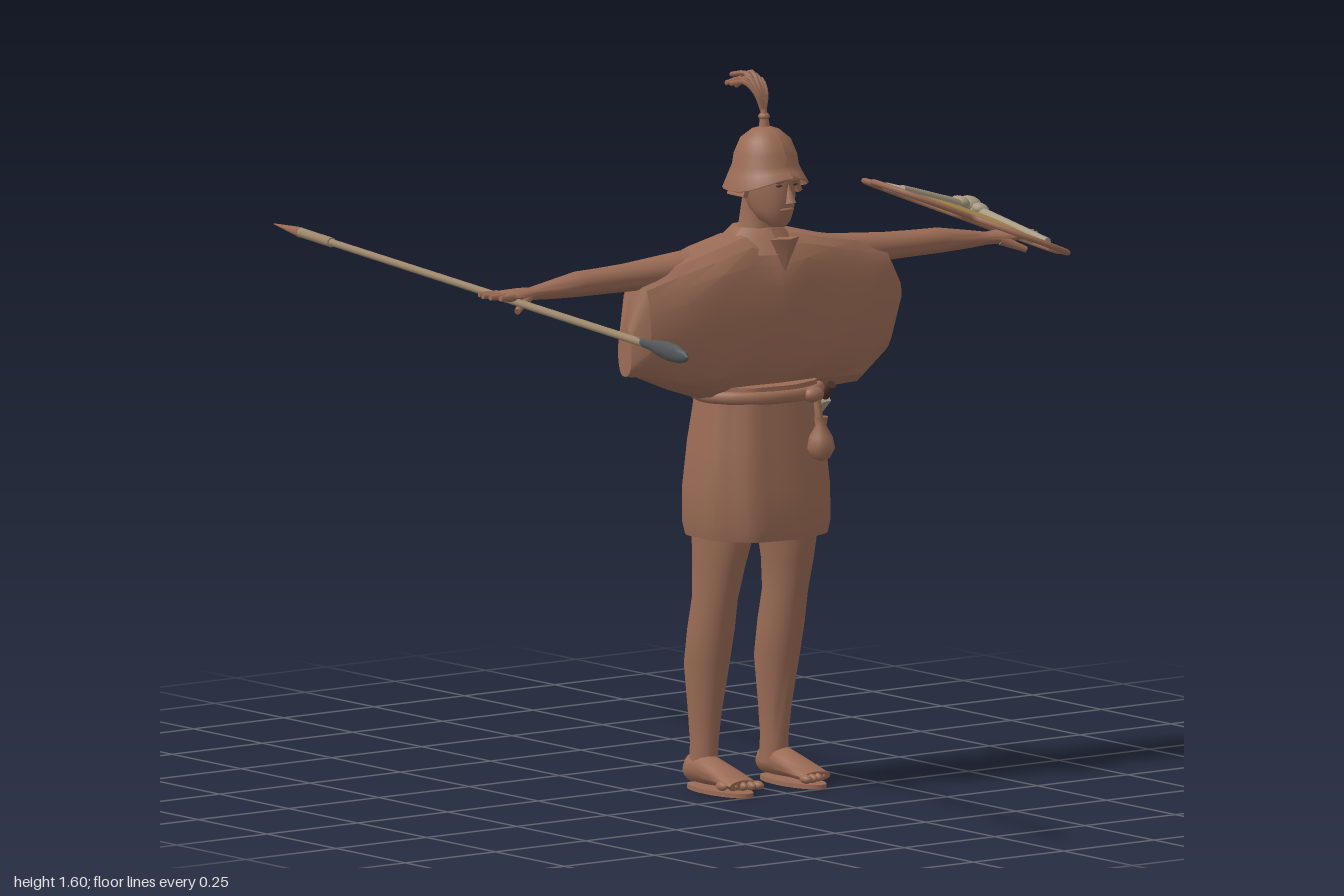
import * as THREE from 'three';
import { toCreasedNormals } from 'three/addons/utils/BufferGeometryUtils.js';

const V = (x, y, z) => new THREE.Vector3(x, y, z);
const paint = (name, color, side = THREE.FrontSide) => {
  const m = new THREE.MeshStandardMaterial({ color, side });
  m.name = name;
  return m;
};

// Oval ring of points across one axis; power < 1 makes it boxier.
function ring(axis, c, a, b, power = 1, fold = () => 1, n = 20) {
  const out = [];
  for (let i = 0; i < n; i++) {
    const t = (i / n) * Math.PI * 2, k = fold(t);
    const p = Math.sign(Math.cos(t)) * Math.abs(Math.cos(t)) ** power * a * k;
    const q = Math.sign(Math.sin(t)) * Math.abs(Math.sin(t)) ** power * b * k;
    const d = axis === 'x' ? V(0, p, q) : axis === 'y' ? V(p, 0, q) : V(p, q, 0);
    out.push(d.add(V(...c)));
  }
  return out;
}

// Closed skin through a list of rings, always facing outwards.
function loft(rings, crease = 0.8) {
  const n = rings[0].length, pts = rings.flat(), idx = [];
  for (let r = 0; r < rings.length - 1; r++) for (let i = 0; i < n; i++) {
    const a = r * n + i, b = r * n + (i + 1) % n;
    idx.push(a, b, a + n, b, b + n, a + n);
  }
  const last = (rings.length - 1) * n;
  for (let i = 1; i < n - 1; i++) idx.push(0, i + 1, i, last, last + i, last + i + 1);
  let volume = 0;
  for (let i = 0; i < idx.length; i += 3)
    volume += pts[idx[i]].dot(pts[idx[i + 1]].clone().cross(pts[idx[i + 2]]));
  if (volume < 0) idx.reverse();
  const g = new THREE.BufferGeometry().setFromPoints(pts);
  g.setIndex(idx);
  return toCreasedNormals(g, crease);
}

export function createModel() {
  const model = new THREE.Group();
  const brown = paint('brown', 0x9a6b55), brownOpen = paint('brown cloth', 0x9a6b55, THREE.DoubleSide);
  const gold = paint('shield gold', 0xa68848, THREE.DoubleSide), bone = paint('bone', 0xa89a84);
  const wood = paint('shaft wood', 0x9c876c), steel = paint('dark steel', 0x55585b);
  const dark = paint('dark brown', 0x4a3228);

  const add = (name, geo, mat, pos = [0, 0, 0], scale = [1, 1, 1], parent = model) => {
    const m = new THREE.Mesh(geo, mat);
    m.name = name;
    m.position.set(...pos);
    m.scale.set(...scale);
    parent.add(m);
    return m;
  };
  const ball = (name, mat, pos, scale, parent) =>
    add(name, new THREE.SphereGeometry(1, 16, 12), mat, pos, scale, parent);
  const aim = (mesh, a, b) => {
    mesh.position.copy(a).lerp(b, 0.5);
    mesh.quaternion.setFromUnitVectors(V(0, 1, 0), b.clone().sub(a).normalize());
    return mesh;
  };
  const rod = (name, mat, a, b, ra, rb, parent) =>
    aim(add(name, new THREE.CylinderGeometry(rb, ra, a.distanceTo(b), 10), mat, undefined, undefined, parent), a, b);

  // Billowing tunic top: x, top, bottom, half depth
  const bodice = [[-0.367, 1.06, 0.95, 0.025], [-0.335, 1.158, 0.945, 0.055], [-0.25, 1.195, 0.91, 0.083],
    [-0.16, 1.222, 0.88, 0.1], [-0.07, 1.245, 0.878, 0.105], [-0.005, 1.235, 0.88, 0.108], [0.07, 1.245, 0.878, 0.105],
    [0.16, 1.222, 0.876, 0.1], [0.25, 1.205, 0.878, 0.083], [0.335, 1.178, 0.935, 0.055], [0.38, 1.1, 1.04, 0.025]];
  add('tunicTop', loft(bodice.map(([x, t, b, d], i) =>
    ring('x', [x, (t + b) / 2, 0.14], (t - b) / 2, d, 0.75,
      (a) => 1 - 0.06 * Math.abs(Math.sin(a)) * (1 + Math.sin(a * 5 + i * 2.1)) / 2)), 0.35), brown);

  // Pleated skirt
  const pleat = (a) => 1 + 0.025 * Math.sin(a * 9 + 1);
  add('tunicSkirt', loft([[0.57, 0.153, 0.138], [0.6, 0.16, 0.143], [0.68, 0.163, 0.135], [0.78, 0.153, 0.125],
    [0.86, 0.141, 0.113], [0.91, 0.136, 0.108]].map(([y, a, b]) =>
    ring('y', [-0.008, y, 0.145], a, b, 0.85, pleat, 36)), 0.5), brown);

  // Belt, knot and pouch
  const belt = add('belt', new THREE.TorusGeometry(0.141, 0.013, 8, 40), brown, [-0.005, 0.887, 0.145], [1.04, 0.83, 1.1]);
  belt.rotation.x = Math.PI / 2;
  ball('beltKnot', brown, [0.06, 0.885, 0.265], [0.025, 0.018, 0.02]);
  rod('pouchCord', brown, V(0.065, 0.88, 0.27), V(0.065, 0.8, 0.285), 0.009, 0.009);
  add('pouch', new THREE.LatheGeometry([[0, 0], [0.02, 0.008], [0.031, 0.03], [0.026, 0.055], [0.012, 0.08], [0.016, 0.1]]
    .map((p) => new THREE.Vector2(...p)), 14), brownOpen, [0.065, 0.738, 0.285]);

  // Sheathed sword on the left hip
  const top = V(0.14, 0.87, 0.195), tip = V(0.16, 0.675, -0.035);
  aim(add('scabbard', new THREE.BoxGeometry(0.022, top.distanceTo(tip), 0.042), bone), tip, top);
  rod('swordHilt', dark, V(0.142, 0.86, 0.19), V(0.137, 0.895, 0.23), 0.012, 0.01);

  // Limbs, mirrored
  for (const s of [-1, 1]) {
    const side = s < 0 ? 'right' : 'left', lx = s * 0.097 - 0.007;
    add(side + 'Leg', loft([[0.04, 0, 0.08, 0.03, 0.037], [0.1, 0, 0.083, 0.028, 0.037], [0.17, 0, 0.085, 0.033, 0.044],
      [0.28, 0, 0.092, 0.046, 0.058], [0.36, 0, 0.108, 0.048, 0.06], [0.43, 0, 0.122, 0.045, 0.06],
      [0.5, -0.002, 0.132, 0.05, 0.07], [0.58, -0.008, 0.14, 0.06, 0.083], [0.66, -0.012, 0.142, 0.066, 0.09]]
      .map(([y, dx, z, a, b]) => ring('y', [lx + s * dx, y, z], a, b))), brown);
    add(side + 'Foot', loft([[0.036, 0.04, 0.02, 0.022], [0.05, 0.045, 0.029, 0.032], [0.1, 0.047, 0.03, 0.035],
      [0.15, 0.04, 0.036, 0.026], [0.2, 0.031, 0.041, 0.017], [0.232, 0.026, 0.038, 0.011]]
      .map(([z, y, a, b]) => ring('z', [lx + s * 0.004, y, z], a, b))), brown);
    for (let i = 0; i < 5; i++)
      ball(side + 'Toe', brown, [lx + s * (0.018 * i - 0.03), 0.024, 0.237 - i * i * 0.0022],
        [i ? 0.009 : 0.012, 0.01, 0.018]);
    add(side + 'Sole', new THREE.CylinderGeometry(1, 1, 0.01, 24), brown, [lx + s * 0.004, 0.005, 0.147], [0.043, 1, 0.106]);

    // Arm and open hand
    add(side + 'Arm', loft([[0.15, 1.172, 0.13, 0.045, 0.055], [0.26, 1.172, 0.13, 0.036, 0.047], [0.36, 1.17, 0.135, 0.031, 0.038],
      [0.44, 1.17, 0.14, 0.029, 0.034], [0.5, 1.17, 0.142, 0.028, 0.034], [0.58, 1.165, 0.145, 0.02, 0.026],
      [0.63, 1.162, 0.145, 0.014, 0.021], [0.66, 1.162, 0.145, 0.015, 0.033], [0.7, 1.163, 0.143, 0.012, 0.038], [0.712, 1.163, 0.143, 0.008, 0.035]]
      .map(([x, y, z, a, b]) => ring('x', [s * x, y, z], a, b))), brown);
    for (let i = 0; i < 4; i++)
      rod(side + 'Finger', brown, V(s * 0.7, 1.164, 0.113 + i * 0.02),
        V(s * (0.757 - Math.abs(i - 1.4) * 0.009), 1.166, 0.106 + i * 0.025), 0.009, 0.006);
    rod(side + 'Thumb', brown, V(s * 0.655, 1.158, 0.165), V(s * 0.705, 1.135, 0.192), 0.012, 0.007);
  }

  // Neck, collar and head
  const hx = -0.007;
  add('neck', loft([[1.2, 0.14, 0.065], [1.24, 0.148, 0.044], [1.32, 0.163, 0.042]]
    .map(([y, z, r]) => ring('y', [hx, y, z], r, r))), brown);
  add('collar', loft([[1.2, 0.1, 0.09], [1.235, 0.075, 0.065], [1.255, 0.052, 0.05]]
    .map(([y, a, b]) => ring('y', [hx, y, 0.143], a, b, 1, (t) => 1 + 0.05 * Math.sin(5 * t))), 0.4), brown);
  add('collarFlap', new THREE.ConeGeometry(0.04, 0.075, 4), brown, [0.005, 1.197, 0.233], [1, 1, 0.5]).rotation.x = Math.PI;
  add('head', loft([[1.262, 0.225, 0.016, 0.018], [1.275, 0.212, 0.032, 0.04], [1.3, 0.197, 0.045, 0.062], [1.335, 0.187, 0.051, 0.076],
    [1.37, 0.182, 0.053, 0.08], [1.42, 0.18, 0.052, 0.072], [1.45, 0.18, 0.036, 0.05]]
    .map(([y, z, a, b]) => ring('y', [hx, y, z], a, b))), brown);
  const nose = add('nose', new THREE.ConeGeometry(0.011, 0.045, 6), brown, [hx, 1.34, 0.266], [1, 1, 1.3]);
  nose.rotation.x = -0.2;
  ball('mouth', brown, [hx, 1.302, 0.256], [0.018, 0.005, 0.006]);
  for (const s of [-1, 1]) {
    ball('eye', dark, [hx + s * 0.021, 1.357, 0.256], [0.009, 0.003, 0.004]);
    ball('brow', brown, [hx + s * 0.021, 1.367, 0.257], [0.016, 0.005, 0.006]);
    // Cheek guards hanging beside the face
    const guard = add('cheekGuard', new THREE.BoxGeometry(0.012, 0.06, 0.06), brown, [hx + s * 0.066, 1.358, 0.175]);
    guard.rotation.z = s * 0.35;
  }

  // Helmet bowl with a flared brim, raised over the face
  const bowl = new THREE.LatheGeometry([[0.088, 1.34], [0.092, 1.342], [0.079, 1.375], [0.071, 1.395], [0.067, 1.42], [0.054, 1.452],
    [0.03, 1.472], [0.012, 1.478], [0, 1.48]].map((p) => new THREE.Vector2(...p)), 28);
  const bp = bowl.attributes.position;
  for (let i = 0; i < bp.count; i++) {
    const low = Math.max(0, (1.4 - bp.getY(i)) / 0.06), front = Math.max(0, bp.getZ(i) / 0.09);
    bp.setY(i, bp.getY(i) + 0.033 * low * front * front);
  }
  bowl.computeVertexNormals();
  add('helmet', bowl, brownOpen, [hx, 0, 0.178], [1, 1, 1.1]);
  rod('plumeHolder', brown, V(hx, 1.47, 0.175), V(hx, 1.515, 0.172), 0.014, 0.007);
  ball('plumeKnob', brown, [hx, 1.5, 0.173], [0.013, 0.009, 0.013]);

  // Plume feathers sweeping backwards
  for (let i = 0; i < 9; i++) {
    const f = (i - 4) / 4, back = 0.055 + 0.045 * ((i * 5) % 9) / 8, high = 1.6 - Math.abs(f) * 0.018;
    const curve = new THREE.CatmullRomCurve3([V(hx, 1.505, 0.172), V(hx + f * 0.014, 1.55, 0.162),
      V(hx + f * 0.027, high - 0.008, 0.165 - back * 0.5), V(hx + f * 0.036, high - 0.015 - (i % 3) * 0.008, 0.155 - back)]);
    add('plumeFeather', new THREE.TubeGeometry(curve, 10, 0.006, 5), brownOpen);
  }

  // Spear: shaft, blade and butt spike
  const point = V(-0.845, 1.15, 0.995), butt = V(-0.47, 1.155, -0.998);
  const along = (t) => point.clone().lerp(butt, t);
  rod('spearShaft', wood, along(0.11), along(0.93), 0.009, 0.008);
  rod('spearCollar', wood, along(0.86), along(0.935), 0.011, 0.011);
  rod('spearSpike', brown, along(0.935), along(1), 0.012, 0.001);
  const blade = add('spearBlade', new THREE.LatheGeometry([[0.009, 0], [0.011, 0.06], [0.018, 0.1], [0.023, 0.15], [0.021, 0.2], [0.012, 0.235], [0, 0.248]]
    .map((p) => new THREE.Vector2(...p)), 12), steel, undefined, [0.6, 1, 1]);
  aim(blade, along(0.122), point);
  blade.position.copy(along(0.122));

  // Four-lobed shield: two crossed ovals, tilted over the left arm
  const shield = new THREE.Group();
  shield.name = 'shield';
  const nrm = V(0.4, 1, 0.083).normalize(), ax = V(1, -0.4, 0).normalize();
  shield.quaternion.setFromRotationMatrix(new THREE.Matrix4().makeBasis(ax, nrm.clone().cross(ax), nrm));
  shield.position.set(0.567, 1.217, 0.153);
  model.add(shield);
  const sparAngles = [Math.PI / 2, 0.38];
  const reach = (t) => Math.max(...sparAngles.map((s) => 1 / Math.hypot(Math.cos(t - s) / 0.315, Math.sin(t - s) / 0.175)));
  const plate = new THREE.RingGeometry(0.001, 1, 96, 5), pp = plate.attributes.position;
  for (let i = 0; i < pp.count; i++) {
    const x = pp.getX(i), y = pp.getY(i), k = reach(Math.atan2(y, x));
    pp.setXYZ(i, x * k, y * k, 0.018 * (1 - x * x - y * y));
  }
  plate.computeVertexNormals();
  add('shieldFace', plate, gold, undefined, undefined, shield);
  const edge = Array.from({ length: 96 }, (_, i) => {
    const t = (i / 96) * Math.PI * 2;
    return V(Math.cos(t) * reach(t), Math.sin(t) * reach(t), 0);
  });
  add('shieldRim', new THREE.TubeGeometry(new THREE.CatmullRomCurve3(edge, true), 144, 0.0065, 6, true), brown, undefined, undefined, shield);
  for (const a of sparAngles) for (const s of [-1, 1]) {
    const d = V(Math.cos(a) * s, Math.sin(a) * s, 0);
    rod('shieldSpar', bone, d.clone().setZ(0.022), d.clone().multiplyScalar(0.305).setZ(0.006), 0.013, 0.009, shield)
      .name = 'shieldSpar';
    const spar = shield.children[shield.children.length - 1];
    shield.remove(spar);
    rod('shieldSpar', bone, V(0, 0, 0.022), d.clone().multiplyScalar(0.305).setZ(0.006), 0.013, 0.009, shield);
    ball('shieldKnot', bone, [d.x * 0.04, d.y * 0.04, 0.026], [0.02, 0.02, 0.014], shield);
  }
  ball('shieldBoss', bone, [0, 0, 0.028], [0.028, 0.028, 0.02], shield);
  return model;
}
